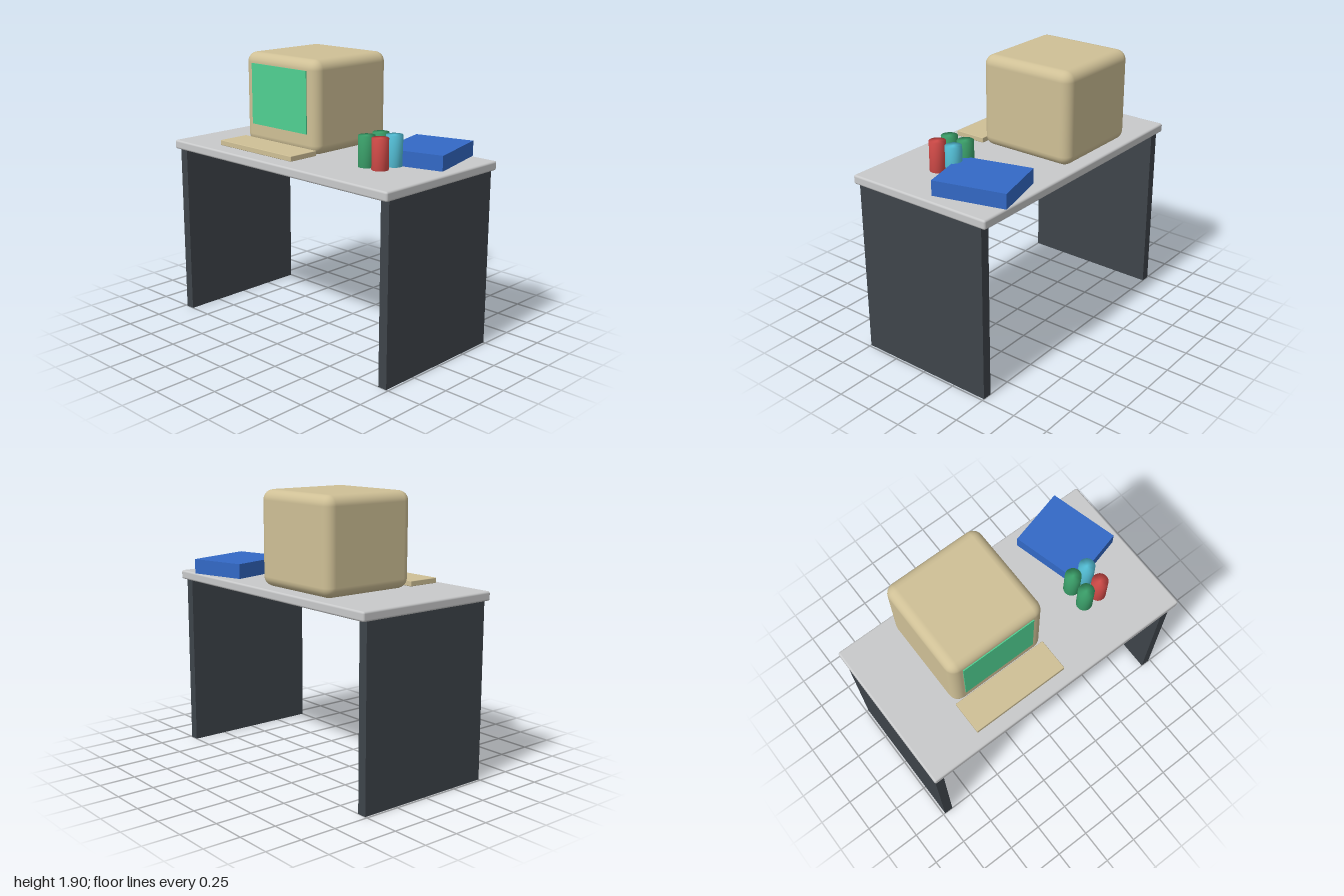
import * as THREE from 'three';
import { mergeVertices } from 'three/addons/utils/BufferGeometryUtils.js';
import { RoundedBoxGeometry } from 'three/addons/geometries/RoundedBoxGeometry.js';

const paint = (name, color) => {
  const m = new THREE.MeshStandardMaterial({ color });
  m.name = name;
  return m;
};

export function createModel() {
  const group = new THREE.Group();
  group.name = 'computerDesk';
  const grey = paint('lightGrey', 0xc8c9ca);
  const slate = paint('darkSlate', 0x3e444a);
  const beige = paint('beige', 0xcfc096);
  const screenGreen = paint('screenGreen', 0x50d092);
  const blue = paint('blue', 0x3369c6);
  const green = paint('green', 0x3ca36c);
  const red = paint('red', 0xd44c49);
  const cyan = paint('cyan', 0x55c2da);

  const add = (name, geometry, material, x, y, z) => {
    const mesh = new THREE.Mesh(geometry, material);
    mesh.name = name;
    mesh.position.set(x, y, z);
    group.add(mesh);
    return mesh;
  };

  // Desk: softly bevelled top on two slab legs
  const top = 1.268;
  add('deskTop', new RoundedBoxGeometry(2, 0.063, 1.08, 2, 0.014), grey, 0, top - 0.0315, 0);
  for (const side of [-1, 1]) {
    add(side > 0 ? 'leftLeg' : 'rightLeg', new THREE.BoxGeometry(0.065, 1.206, 1), slate, side * 0.952, 0.603, 0);
  }

  // Monitor with a thin screen plate, and the keyboard in front of it
  add('monitor', new RoundedBoxGeometry(0.7, 0.634, 0.7, 3, 0.068), beige, -0.25, 1.585, -0.13);
  add('screen', new THREE.BoxGeometry(0.53, 0.42, 0.008), screenGreen, -0.252, 1.62, 0.223);
  add('keyboard', new RoundedBoxGeometry(0.7, 0.036, 0.23, 1, 0.004), beige, -0.25, 1.296, 0.335);

  // Box turned slightly on the desk
  const box = add('storageBox', new THREE.BoxGeometry(0.414, 0.102, 0.497), blue, 0.665, top + 0.051, -0.252);
  box.rotation.y = 0.257;

  // Drink cans, with normals blended across the rims
  let can = new THREE.CylinderGeometry(0.055, 0.055, 0.203, 32);
  can.deleteAttribute('normal');
  can.deleteAttribute('uv');
  can = mergeVertices(can);
  can.computeVertexNormals();
  const cans = [[green, 0.497, 0.03], [cyan, 0.612, 0.03], [green, 0.497, 0.165], [red, 0.612, 0.165]];
  cans.forEach(([material, x, z], i) => add('can' + (i + 1), can, material, x, top + 0.1015, z));

  return group;
}
